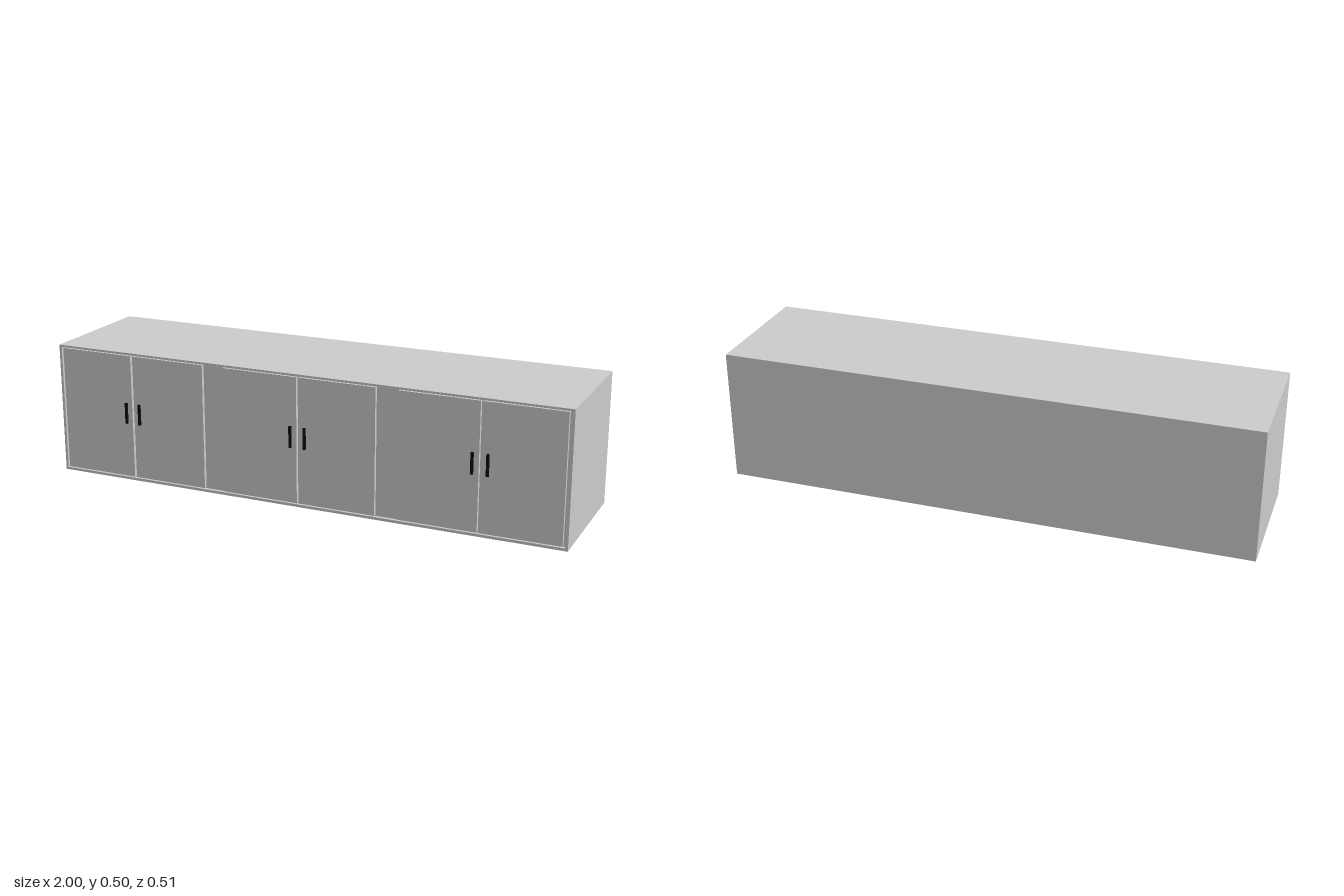
import * as THREE from 'three';

const WIDTH = 2, HEIGHT = 0.5, BACK = -0.253, FRONT = 0.247;
const PANEL = 0.01;    // thickness of the outer panels
const RECESS = 0.013;  // depth of the inner face behind the doors' faces

export function createModel() {
  const model = new THREE.Group();
  model.name = 'sideboard';
  const grey = new THREE.MeshStandardMaterial({ color: 0xcccccc });
  const black = new THREE.MeshStandardMaterial({ color: 0x0a0a0a });

  // Box given by its lower and upper limits on each axis
  const addBox = (parent, name, [x0, x1], [y0, y1], [z0, z1], material = grey) => {
    const mesh = new THREE.Mesh(new THREE.BoxGeometry(x1 - x0, y1 - y0, z1 - z0), material);
    mesh.position.set((x0 + x1) / 2, (y0 + y1) / 2, (z0 + z1) / 2);
    mesh.name = name;
    parent.add(mesh);
  };

  // Outer casing
  const half = WIDTH / 2, inner = half - PANEL;
  const depth = [BACK, FRONT];
  addBox(model, 'leftSidePanel', [inner, half], [0, HEIGHT], depth);
  addBox(model, 'rightSidePanel', [-half, -inner], [0, HEIGHT], depth);
  addBox(model, 'topPanel', [-inner, inner], [HEIGHT - 0.008, HEIGHT], depth);
  addBox(model, 'bottomPanel', [-inner, inner], [0, PANEL], depth);

  // Inner body, whose recessed front shows between the doors
  addBox(model, 'innerBody', [-inner, inner], [PANEL, HEIGHT - 0.008], [BACK, FRONT - RECESS]);

  // Three pairs of doors, each door with a bar handle near the middle of its pair
  const gap = 0.004, doorWidth = 0.295;
  for (const centre of [-0.684, -0.002, 0.682]) {
    const pair = new THREE.Group();
    pair.name = 'doorPair';
    pair.position.x = centre;
    for (const side of [-1, 1]) {
      const span = (a, b) => [side * a, side * b].sort((p, q) => p - q);
      addBox(pair, 'door', span(gap, gap + doorWidth), [0.014, 0.489], [FRONT - RECESS, FRONT]);
      addBox(pair, 'handle', span(0.023, 0.033), [0.225, 0.305], [FRONT, 0.2535], black);
    }
    model.add(pair);
  }
  return model;
}
